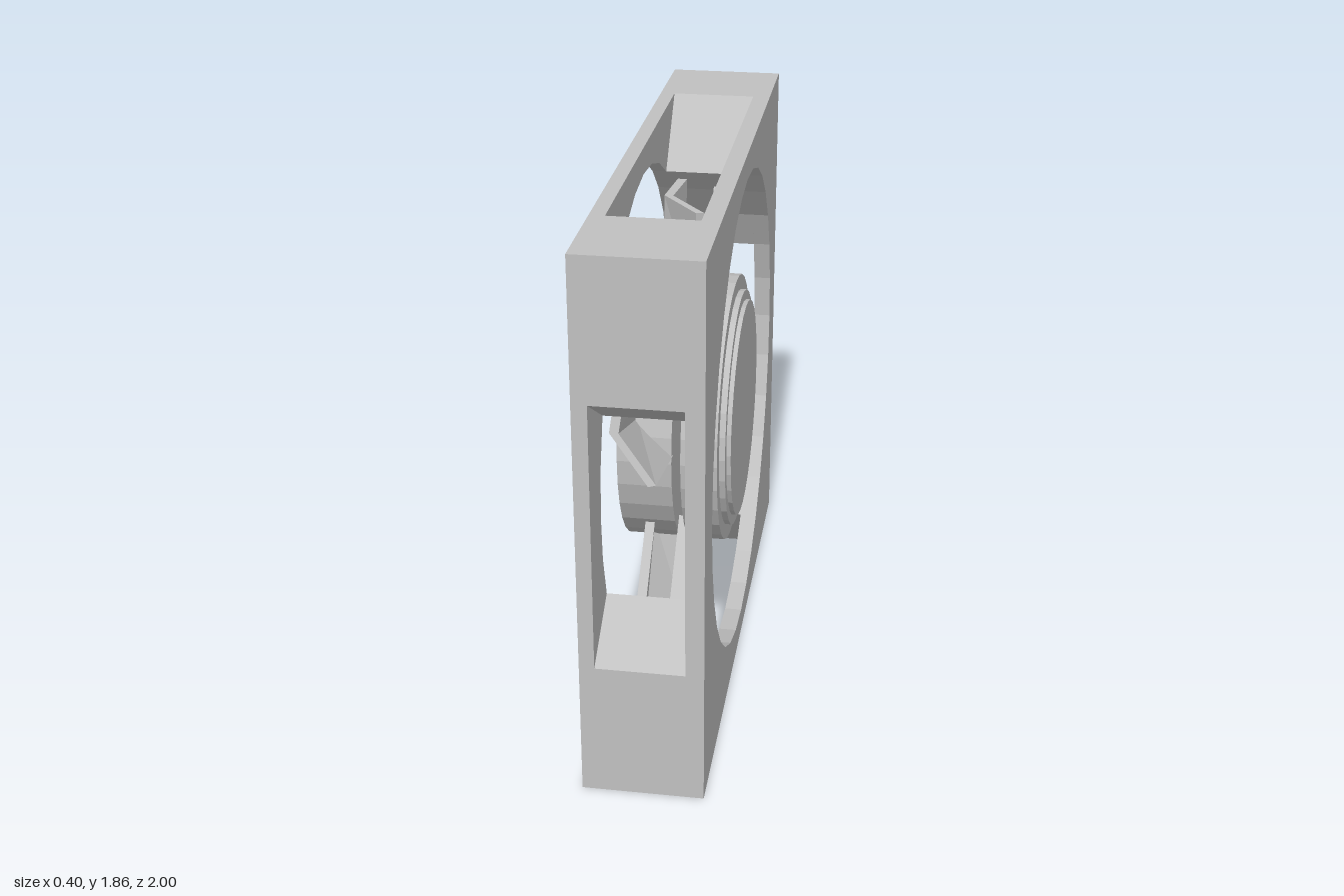
import * as THREE from 'three';

export function createModel() {
  const root = new THREE.Group();
  root.name = 'caseFan';
  // Working axes: X = back, Y = up, Z = the fan's axis; turned to face +x at the end
  const fan = new THREE.Group();
  fan.name = 'fan';
  fan.rotation.y = Math.PI / 2;
  fan.position.y = 0.93;
  root.add(fan);

  const gray = new THREE.MeshStandardMaterial({ color: 0xc0c0c0 });
  gray.name = 'gray plastic';

  const add = (name, geometry, parent = fan) => {
    const flat = geometry.index ? geometry.toNonIndexed() : geometry;
    flat.computeVertexNormals();
    const mesh = new THREE.Mesh(flat, gray);
    mesh.name = name;
    parent.add(mesh);
    return mesh;
  };
  const slab = (shape, z0, z1) =>
    new THREE.ExtrudeGeometry(shape, { depth: z1 - z0, bevelEnabled: false, curveSegments: 1 })
      .translate(0, 0, z0);
  const polar = (r, a) => new THREE.Vector2(r * Math.cos(a), r * Math.sin(a));

  // Frame face plates with the round opening
  const R = 0.84, N = 32;
  const plate = new THREE.Shape([[-1, -0.93], [1, -0.93], [1, 0.93], [-1, 0.93]]
    .map(([x, y]) => new THREE.Vector2(x, y)));
  const ring = [];
  for (let i = 0; i < N; i++) ring.push(polar(R, (i / N) * Math.PI * 2));
  plate.holes.push(new THREE.Path(ring));
  add('frameRightPlate', slab(plate, -0.2, -0.15));
  add('frameLeftPlate', slab(plate, 0.14, 0.2));

  // Frame corners, leaving a flared slot in the middle of every side
  const a0 = Math.atan2(0.32, 0.777), a1 = Math.atan2(0.696, 0.47);
  for (const sx of [-1, 1]) for (const sy of [-1, 1]) {
    const pts = [[0.67, 0.93], [1, 0.93], [1, 0.46]].map(([x, y]) => new THREE.Vector2(x, y));
    pts.push(polar(R, a0));
    for (let i = 3; i <= 4; i++) pts.push(polar(R, (i / N) * Math.PI * 2));
    pts.push(polar(R, (5 / N) * Math.PI * 2), polar(R, a1));
    pts.forEach((p) => p.set(p.x * sx, p.y * sy));
    add('frameCorner', slab(new THREE.Shape(pts), -0.15, 0.14));
  }

  // Hub: fixed motor mount with stepped face, and spinning rotor behind a gap
  const disc = (name, r, z0, z1) => {
    const g = new THREE.CylinderGeometry(r, r, z1 - z0, N);
    g.rotateX(Math.PI / 2).translate(0, 0, (z0 + z1) / 2);
    add(name, g);
  };
  disc('motorMount', 0.468, 0.043, 0.165);
  disc('motorStep', 0.415, 0.16, 0.185);
  disc('motorCap', 0.38, 0.18, 0.2);
  disc('rotor', 0.465, -0.17, 0.013);

  // Four diagonal struts holding the motor mount
  for (let i = 0; i < 4; i++) {
    const strut = new THREE.BoxGeometry(0.075, 0.44, 0.055);
    strut.rotateY(-0.08).translate(0, 0.64, 0.042);
    add('strut', strut).rotation.z = Math.PI / 4 + i * Math.PI / 2;
  }

  // Five bent blades, narrower at the root
  const section = new THREE.Shape([
    [-0.162, 0.05], [0, -0.08], [0.178, -0.062], [0.178, -0.03], [0, -0.05], [-0.155, 0.075],
  ].map(([x, z]) => new THREE.Vector2(x, -z)));
  const shifts = [0, -0.06, -0.03, -0.03, -0.03];
  shifts.forEach((dz, i) => {
    const blade = slab(section, 0.42, 0.77).rotateX(-Math.PI / 2);
    const p = blade.attributes.position;
    for (let k = 0; k < p.count; k++) {
      p.setX(k, p.getX(k) * (p.getY(k) < 0.5 ? 0.75 : 1));
    }
    const mesh = add('blade', blade);
    mesh.position.z = dz;
    mesh.rotation.z = (i * Math.PI * 2) / 5;
  });

  return root;
}
